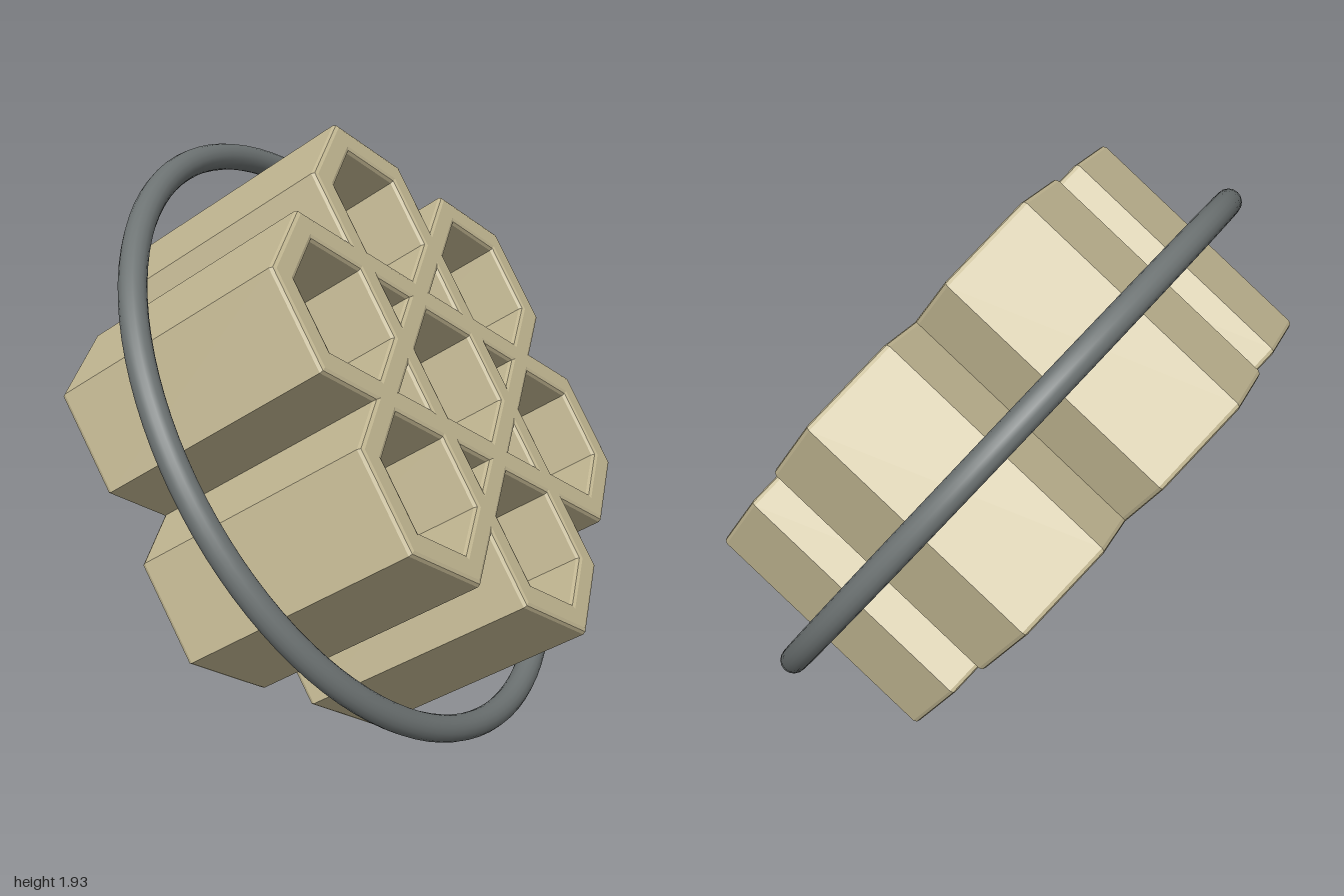
import * as THREE from 'three';

const CELL = 0.313, HOLE = 0.247, BEVEL = 0.015, LENGTH = 0.86, SPACING = 0.568;

// regular hexagon with its first corner on +x
function hexagon(target, radius) {
  const pts = [];
  for (let i = 0; i < 6; i++) {
    const a = (i * Math.PI) / 3;
    pts.push(new THREE.Vector2(radius * Math.cos(a), radius * Math.sin(a)));
  }
  return target.setFromPoints(pts);
}

export function createModel() {
  const tan = new THREE.MeshStandardMaterial({ color: 0xc4b994 });
  tan.name = 'tan';
  const grey = new THREE.MeshStandardMaterial({ color: 0x6e7474 });
  grey.name = 'grey';

  const body = new THREE.Group();
  body.name = 'tiltedCluster';

  // hollow hexagonal tube with slightly bevelled rims
  const outline = hexagon(new THREE.Shape(), CELL);
  outline.holes.push(hexagon(new THREE.Path(), HOLE));
  const depth = LENGTH - 2 * BEVEL;
  const tube = new THREE.ExtrudeGeometry(outline, {
    depth, bevelEnabled: true, bevelSize: BEVEL, bevelThickness: BEVEL, bevelSegments: 2,
  });
  tube.translate(0, 0, -depth / 2);

  const centre = new THREE.Mesh(tube, tan);
  centre.name = 'centreCell';
  body.add(centre);

  // six cells around it, corner towards corner
  for (let i = 0; i < 6; i++) {
    const a = (i * Math.PI) / 3;
    const cell = new THREE.Mesh(tube, tan);
    cell.name = `outerCell${i + 1}`;
    cell.position.set(SPACING * Math.cos(a), SPACING * Math.sin(a), 0);
    body.add(cell);
  }

  // ring around the middle
  const ring = new THREE.Mesh(new THREE.TorusGeometry(1.016, 0.043, 16, 96), grey);
  ring.name = 'ring';
  body.add(ring);

  // tilt the whole cluster
  const axis = new THREE.Vector3(0.336, 0.562, 0.756).normalize();
  const corner = new THREE.Vector3(-0.039, 0.813, -0.58);
  corner.addScaledVector(axis, -corner.dot(axis)).normalize();
  const side = new THREE.Vector3().crossVectors(axis, corner);
  body.quaternion.setFromRotationMatrix(new THREE.Matrix4().makeBasis(corner, side, axis));
  body.position.y = 0.965;

  const model = new THREE.Group();
  model.name = 'hexCellCluster';
  model.add(body);
  return model;
}
